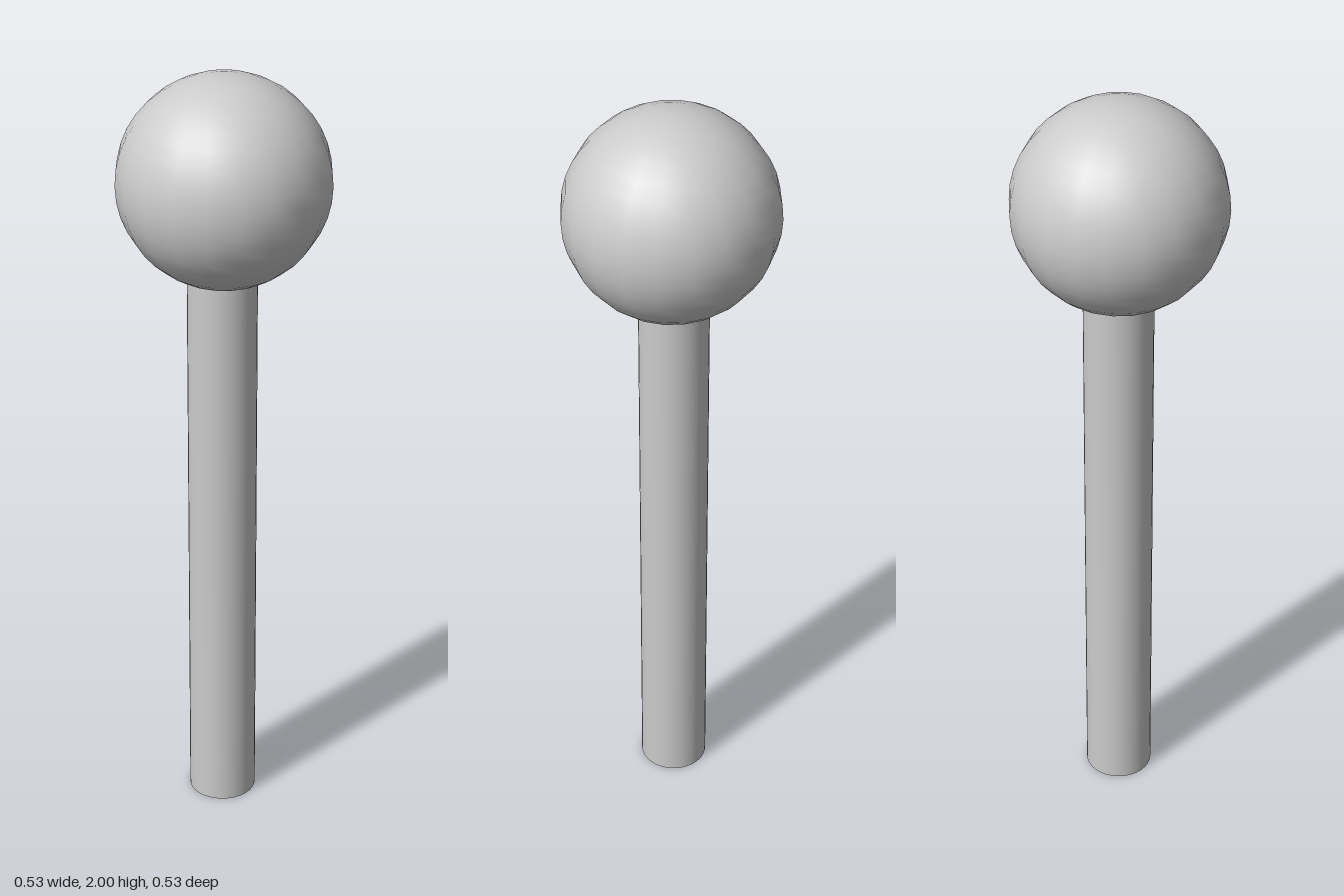
import * as THREE from 'three';

export function createModel() {
  const model = new THREE.Group();
  const material = new THREE.MeshStandardMaterial({ color: 0xcccccc });

  const ballRadius = 0.264;
  const ballY = 2 - ballRadius;

  // Round ball on top
  const ball = new THREE.Mesh(new THREE.SphereGeometry(ballRadius, 20, 20), material);
  ball.name = 'ball';
  ball.position.y = ballY;

  // Straight post, ending inside the ball and set very slightly off its axis
  const postHeight = 1.6;
  const post = new THREE.Mesh(new THREE.CylinderGeometry(0.087, 0.087, postHeight, 32), material);
  post.name = 'post';
  post.position.set(-0.006, postHeight / 2, 0);

  model.add(ball, post);
  return model;
}
